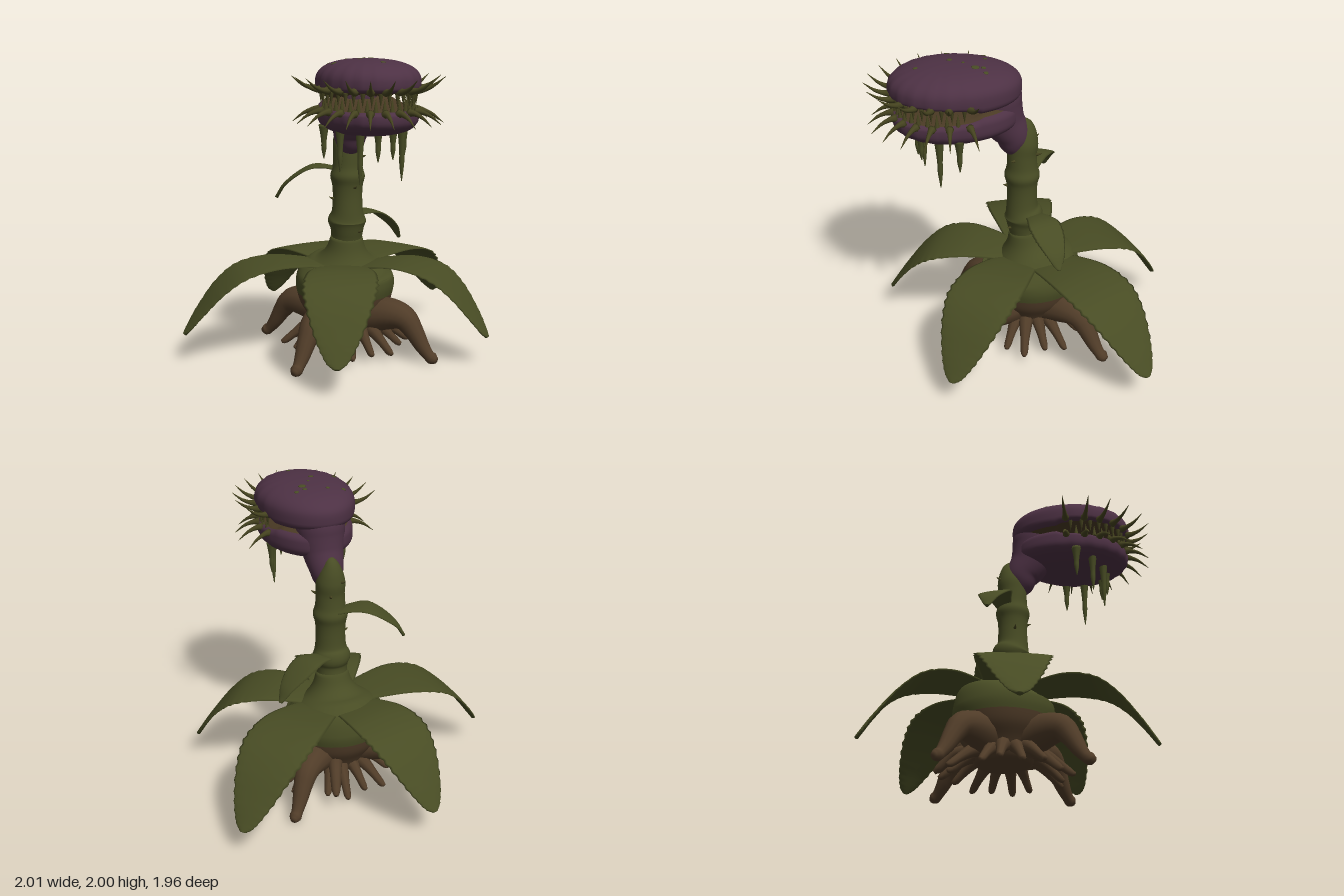
import * as THREE from 'three';

const mat = (name, color) => Object.assign(new THREE.MeshStandardMaterial({ color }), { name });
const V = (x, y, z) => new THREE.Vector3(x, y, z);
const CX = 0.1; // plant axis in x

// Closed smooth surface through rings of points; fans close both ends.
// With split (0..1), rings past that fraction use the second material group.
function loft(rings, split) {
  const n = rings[0].length, pos = [], idx = [];
  rings.flat().forEach(p => pos.push(p.x, p.y, p.z));
  const ends = [rings[0], rings[rings.length - 1]].map(ring => {
    const c = ring.reduce((a, p) => a.add(p), V(0, 0, 0)).divideScalar(n);
    pos.push(c.x, c.y, c.z);
    return pos.length / 3 - 1;
  });
  for (let j = 0; j < n; j++) idx.push(ends[0], (j + 1) % n, j);
  for (let i = 0; i < rings.length - 1; i++) for (let j = 0; j < n; j++) {
    const a = i * n + j, b = i * n + (j + 1) % n;
    idx.push(a, b, a + n, b, b + n, a + n);
  }
  const last = (rings.length - 1) * n;
  for (let j = 0; j < n; j++) idx.push(ends[1], last + j, last + (j + 1) % n);
  // turn the faces outward when the enclosed volume comes out negative
  let vol = 0;
  const at = i => V(pos[3 * i], pos[3 * i + 1], pos[3 * i + 2]);
  for (let i = 0; i < idx.length; i += 3) vol += at(idx[i]).dot(at(idx[i + 1]).cross(at(idx[i + 2])));
  if (vol < 0) for (let i = 0; i < idx.length; i += 3) [idx[i], idx[i + 1]] = [idx[i + 1], idx[i]];
  const g = new THREE.BufferGeometry();
  g.setAttribute('position', new THREE.Float32BufferAttribute(pos, 3));
  g.setIndex(idx);
  g.computeVertexNormals();
  if (split) {
    const cut = n * 3 + Math.round(split * (rings.length - 1)) * n * 6;
    g.addGroup(0, cut, 0);
    g.addGroup(cut, idx.length - cut, 1);
  }
  return g;
}

// Sweep along points [x, y, z, radius]; side is the horizontal axis across the path.
function sweep(pts, side, { n = 12, segs = 24, thick = null, edge = () => 1, split } = {}) {
  const path = new THREE.CatmullRomCurve3(pts.map(p => V(p[0], p[1], p[2])), false, 'catmullrom', 0.5);
  const rad = new THREE.CatmullRomCurve3(pts.map(p => V(p[3], 0, 0)), false, 'catmullrom', 0.5);
  const rings = [];
  for (let i = 0; i <= segs; i++) {
    const t = i / segs, c = path.getPoint(t), up = path.getTangent(t).cross(side).normalize();
    const r = Math.max(rad.getPoint(t).x, 0.001) * edge(t), v = thick ? Math.min(thick, r) : r;
    rings.push(Array.from({ length: n }, (_, j) => {
      const a = j / n * Math.PI * 2;
      return c.clone().addScaledVector(side, r * Math.cos(a)).addScaledVector(up, v * Math.sin(a));
    }));
  }
  return loft(rings, split);
}

// Sweep whose points [distance, height, radius] run out from (x, z) toward an azimuth (0 = +z)
function radial(x, z, az, pts, opts) {
  const s = Math.sin(az), c = Math.cos(az);
  return sweep(pts.map(([d, y, r]) => [x + s * d, y, z + c * d, r]), V(c, 0, -s), opts);
}

// Egg-shaped plan of the head
const egg = (th, k = 1) => {
  const c = Math.cos(th), ripple = c > -0.3 ? 1 + 0.012 * Math.cos(th * 12 / 1.83 * Math.PI) : 1;
  return [CX + 0.315 * k * ripple * Math.sin(th), 0.45 + (c > 0 ? 0.375 : 0.45) * k * ripple * c];
};

// One jaw: domed outside, then the mouth side; dir is +1 upper, -1 lower
function jaw(dir, rimY, height, size) {
  const rings = [];
  for (let i = 0; i <= 32; i++) {
    const a = Math.max(0.03, Math.min(i / 32, 0.99) * Math.PI);
    const k = size * Math.pow(Math.sin(a), i < 16 ? 0.8 : 0.55);
    rings.push(Array.from({ length: 72 }, (_, j) => {
      const [x, z] = egg(j / 72 * Math.PI * 2, k);
      const open = Math.sqrt(THREE.MathUtils.clamp((z - 0.28) / 0.3, 0, 1));
      const inner = 1.755 + dir * (0.042 * open - (z < 0.28 ? 0.01 : 0));
      const c = Math.cos(a);
      const y = c >= 0 ? rimY + dir * height * Math.pow(c, 0.8) : rimY + (inner - rimY) * Math.pow(-c, 0.5);
      return V(x, y, z);
    }));
  }
  return loft(rings, 0.69);
}

export function createModel() {
  const green = mat('leafGreen', 0x484c24), purple = mat('headPurple', 0x4d3144);
  const brown = mat('rootBrown', 0x503c28), olive = mat('thornOlive', 0x45431f);
  const lining = mat('mouthBrown', 0x4a3a24);
  const model = new THREE.Group(), X = V(1, 0, 0);
  const add = (name, geo, m) => {
    const mesh = new THREE.Mesh(geo, m);
    mesh.name = name;
    model.add(mesh);
    return mesh;
  };

  // Bulb: brown below, green shoulder above
  const bulb = [[0.12, 0.08], [0.13, 0.17], [0.18, 0.21], [0.25, 0.25], [0.33, 0.3], [0.41, 0.325],
    [0.48, 0.335], [0.545, 0.32], [0.6, 0.27], [0.645, 0.19], [0.71, 0.135], [0.8, 0.105]];
  add('bulb', sweep(bulb.map(([y, r], i) => [CX, y, i < 8 ? -0.06 : -0.06 + (i - 7) * 0.01, r]), X,
    { n: 40, segs: 44, split: 5 / 11 }), [brown, green]);

  // Jointed stem
  add('stem', sweep([[0.7, -0.03, 0.13], [0.78, -0.02, 0.105], [0.85, -0.01, 0.11], [0.91, -0.01, 0.128],
    [0.97, 0, 0.105], [1.07, 0, 0.098], [1.15, 0, 0.102], [1.21, 0, 0.115], [1.27, 0, 0.1], [1.36, 0, 0.095],
    [1.44, -0.01, 0.095], [1.51, -0.02, 0.075], [1.56, -0.02, 0.05], [1.6, 0, 0.02]]
    .map(([y, z, r]) => [CX, y, z, r]), X, { n: 24, segs: 56 }), green);

  // Four thick roots and thin rootlets between them
  for (let i = 0; i < 4; i++) {
    const az = Math.PI / 4 + i * Math.PI / 2;
    add('root', radial(CX, -0.03, az, [[0.15, 0.27, 0.13], [0.32, 0.3, 0.11], [0.44, 0.285, 0.085], [0.51, 0.21, 0.065],
      [0.57, 0.12, 0.05], [0.62, 0.06, 0.038], [0.65, 0.04, 0.04], [0.68, 0.03, 0.02]]), brown);
    [-0.5, -0.17, 0.2, 0.5].forEach((off, j) => {
      const s = j % 2 ? 1 : 0.88;
      add('rootlet', radial(CX, -0.04, az + Math.PI / 4 + off, [[0.14, 0.22, 0.06], [0.25 * s, 0.19, 0.045],
        [0.34 * s, 0.13, 0.03], [0.41 * s, 0.075, 0.024], [0.44 * s, 0.065, 0.012]], { n: 8, segs: 12 }), brown);
    });
  }
  // Back rootlet that rises out past the others
  add('rootlet', radial(CX, -0.04, 2.78, [[0.2, 0.25, 0.06], [0.35, 0.24, 0.04], [0.45, 0.16, 0.03], [0.49, 0.13, 0.015]]), brown);

  // Five large arching leaves with toothed edges
  const leafShape = [[0.12, 0.6, 0.13], [0.3, 0.632, 0.18], [0.5, 0.64, 0.225], [0.7, 0.595, 0.235],
    [0.85, 0.49, 0.2], [0.98, 0.34, 0.135], [1.06, 0.23, 0.07], [1.088, 0.19, 0.02]];
  const toothed = t => 1 + (t > 0.35 ? 0.03 : 0) * Math.sin(t * 130);
  [[-0.2, -0.98], [0.98, -0.7], [0.9, 0.53], [-0.22, 0.89], [-1, -0.05]].forEach(([x, z]) => {
    const dx = x - CX, dz = z + 0.05, s = Math.hypot(dx, dz) / 1.088;
    add('largeLeaf', radial(CX, -0.05, Math.atan2(dx, dz), leafShape.map(([d, y, w]) => [d * s, y, w]),
      { n: 16, segs: 90, thick: 0.013, edge: toothed }), green);
  });

  // Two small stem leaves
  [[1.24, -0.34, -0.2], [0.92, 0.53, -0.19]].forEach(([y, x, z]) => {
    const dx = x - CX, dz = z + 0.05, L = Math.hypot(dx, dz);
    add('smallLeaf', radial(CX, -0.05, Math.atan2(dx, dz), [[0.05, 0, 0.05], [0.3, 0.025, 0.08], [0.5, 0.02, 0.108],
      [0.7, -0.03, 0.1], [0.88, -0.1, 0.065], [0.97, -0.165, 0.03], [1, -0.19, 0.012]]
      .map(([d, h, w]) => [d * L, y + h, w]), { n: 12, segs: 48, thick: 0.011, edge: toothed }), green);
  });

  // Neck and jaws
  add('neck', sweep([[1.38, 0.03, 0.06], [1.44, 0.05, 0.095], [1.51, 0.065, 0.115], [1.6, 0.115, 0.135],
    [1.7, 0.15, 0.155], [1.79, 0.165, 0.16], [1.87, 0.18, 0.13], [1.93, 0.2, 0.05]]
    .map(([y, z, r]) => [CX, y, z, r]), X, { n: 28, segs: 32 }), purple);
  add('upperJaw', jaw(1, 1.855, 0.145, 1), [purple, lining]);
  add('lowerJaw', jaw(-1, 1.655, 0.12, 0.96), [purple, lining]);

  // Rim spikes and interlocking teeth on both jaws
  for (const dir of [1, -1]) {
    const rim = dir > 0 ? 1 : 0.97;
    for (let i = 0; i < 13; i++) {
      const th = (i / 12 - 0.5) * 3.66, [x, z] = egg(th, 0.94 * rim), y = 1.755 + dir * 0.065;
      add('rimSpike', radial(x, z, th, [[0, y, 0.028], [0.04, y + dir * 0.002, 0.017],
        [0.1, y + dir * 0.025, 0.01], [0.165, y + dir * 0.075, 0.001]], { n: 7, segs: 9 }), olive);
    }
    const count = dir > 0 ? 20 : 19;
    for (let i = 0; i < count; i++) {
      const [x, z] = egg((i - (count - 1) / 2) * 0.185, 0.9 * rim);
      const tooth = add('tooth', new THREE.ConeGeometry(0.016, 0.085, 7), olive);
      tooth.position.set(x, 1.755 + dir * 0.012, z);
      if (dir > 0) tooth.rotation.x = Math.PI;
    }
  }

  // Hanging tendrils under the lower jaw
  [[-0.17, 0.41, 1.39], [-0.1, 0.53, 1.32], [0, 0.62, 1.25], [0.1, 0.66, 1.39], [0.2, 0.64, 1.4],
    [0.295, 0.53, 1.25], [0.35, 0.41, 1.38]].forEach(([x, z, tip]) => {
    const h = 1.6 - tip;
    add('tendril', sweep([[x, 1.6, z, 0.034], [x, 1.6 - h * 0.25, z, 0.024], [x, 1.6 - h * 0.5, z, 0.017],
      [x, 1.6 - h * 0.7, z, 0.016], [x, tip, z, 0.003]], X, { n: 8, segs: 14 }), green);
  });

  // Small stem thorns
  [[1.36, 2.8], [1.34, 0.9], [1.14, 0.2], [1.06, -1.5], [1.45, 3.6], [0.84, 0.6]].forEach(([y, az]) =>
    add('stemThorn', radial(CX, 0, az, [[0.08, y, 0.014], [0.11, y + 0.005, 0.008], [0.13, y + 0.015, 0.001]],
      { n: 6, segs: 5 }), olive));

  // Thin green blotches on top of the head
  [[-0.09, 0.22, 0.016], [0.02, 0.22, 0.014], [0.17, 0.29, 0.026], [0.23, 0.23, 0.016], [0.17, 0.24, 0.016],
    [0.05, 0.44, 0.018], [-0.12, 0.45, 0.02], [0.13, 0.65, 0.016], [0.1, 0.36, 0.01]].forEach(([x, z, r]) => {
    const top = (px, pz) => {
      const k = Math.hypot((px - CX) / 0.315, (pz - 0.45) / (pz > 0.45 ? 0.375 : 0.45));
      return 1.855 + 0.145 * Math.pow(1 - Math.pow(k, 2.5), 0.4);
    };
    const y = top(x, z), e = 0.01;
    const spot = add('headSpot', new THREE.SphereGeometry(r, 10, 6), green);
    spot.scale.y = 0.004 / r;
    spot.position.set(x, y, z);
    spot.quaternion.setFromUnitVectors(V(0, 1, 0),
      V(-(top(x + e, z) - y) / e, 1, -(top(x, z + e) - y) / e).normalize());
  });
  return model;
}
